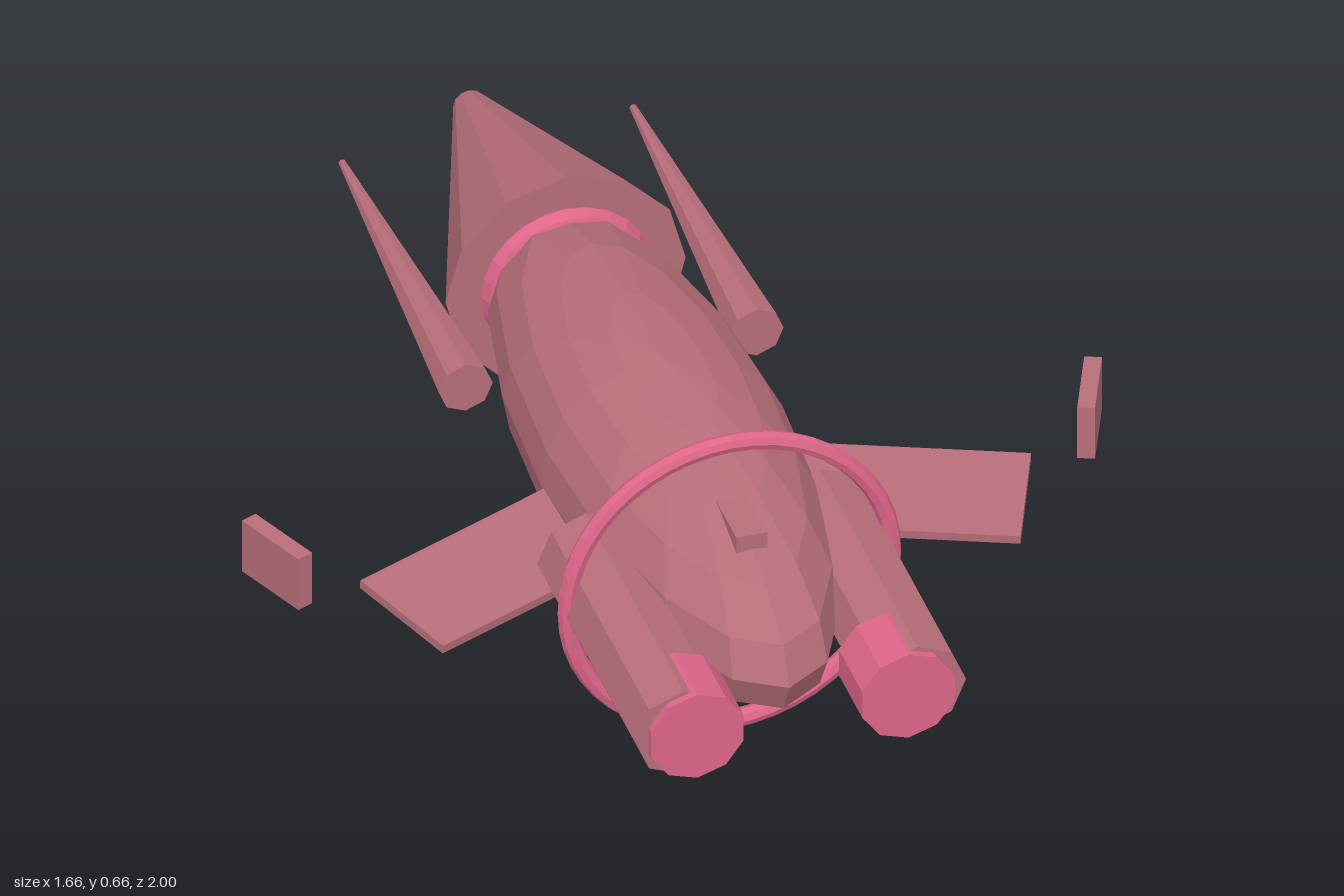
import * as THREE from 'three';

export function createModel() {
  const model = new THREE.Group();
  const hullMat = new THREE.MeshStandardMaterial({ color: 0xb76e79, flatShading: true });
  hullMat.name = 'rose metal';
  const glowMat = new THREE.MeshStandardMaterial({ color: 0xdd6688, flatShading: true });
  glowMat.name = 'bright pink';
  const midY = 0.335;

  function add(name, geometry, material, x, y, z) {
    const mesh = new THREE.Mesh(geometry, material);
    mesh.name = name;
    mesh.position.set(x, y, z);
    model.add(mesh);
    return mesh;
  }
  // Cylinder or cone along z: rBack at the -z end, rFront at the +z end
  const zCylinder = (rBack, rFront, length, sides) =>
    new THREE.CylinderGeometry(rBack, rFront, length, sides).rotateX(-Math.PI / 2);

  // Long faceted hull
  const hull = new THREE.SphereGeometry(1, 16, 10).scale(0.24, 0.232, 0.75);
  add('hull', hull, hullMat, 0, 0.338, 0.17);

  // Tapered cone at the back, with a collar where it meets the hull
  add('tailCone', zCylinder(0.03, 0.232, 0.58, 12), hullMat, 0, 0.338, -0.71);
  add('collar', new THREE.TorusGeometry(0.135, 0.03, 8, 24), glowMat, 0, 0.338, -0.415);

  // Large ring around the hull
  add('ring', new THREE.TorusGeometry(0.314, 0.018, 8, 48), glowMat, 0, 0.332, 0.56);

  // Small block on top
  add('topBlock', new THREE.BoxGeometry(0.06, 0.04, 0.13), hullMat, 0, 0.51, 0.63);

  for (const s of [1, -1]) {
    const side = s > 0 ? 'left' : 'right';

    // Engine with a bright nozzle
    add(side + 'Engine', zCylinder(0.094, 0.094, 0.585, 8), hullMat, s * 0.226, 0.332, 0.6925);
    add(side + 'Nozzle', zCylinder(0.094, 0.094, 0.14, 10), glowMat, s * 0.204, 0.329, 0.93);

    // Swept wing, pitched slightly
    const wing = add(side + 'Wing', new THREE.BoxGeometry(0.5, 0.018, 0.236), hullMat, s * 0.372, 0.32, 0.37);
    wing.rotation.order = 'YXZ';
    wing.rotation.set(0.08, -s * 0.393, 0);

    // Free-standing plate beyond the wing tip
    const plate = add(side + 'TipPlate', new THREE.BoxGeometry(0.033, 0.115, 0.16), hullMat, s * 0.785, 0.36, 0.284);
    plate.rotation.y = -s * 0.393;

    // Slim spike beside the tail cone
    add(side + 'Spike', zCylinder(0.007, 0.052, 0.74, 8), hullMat, s * 0.281, midY + 0.01, -0.517);
  }
  return model;
}
